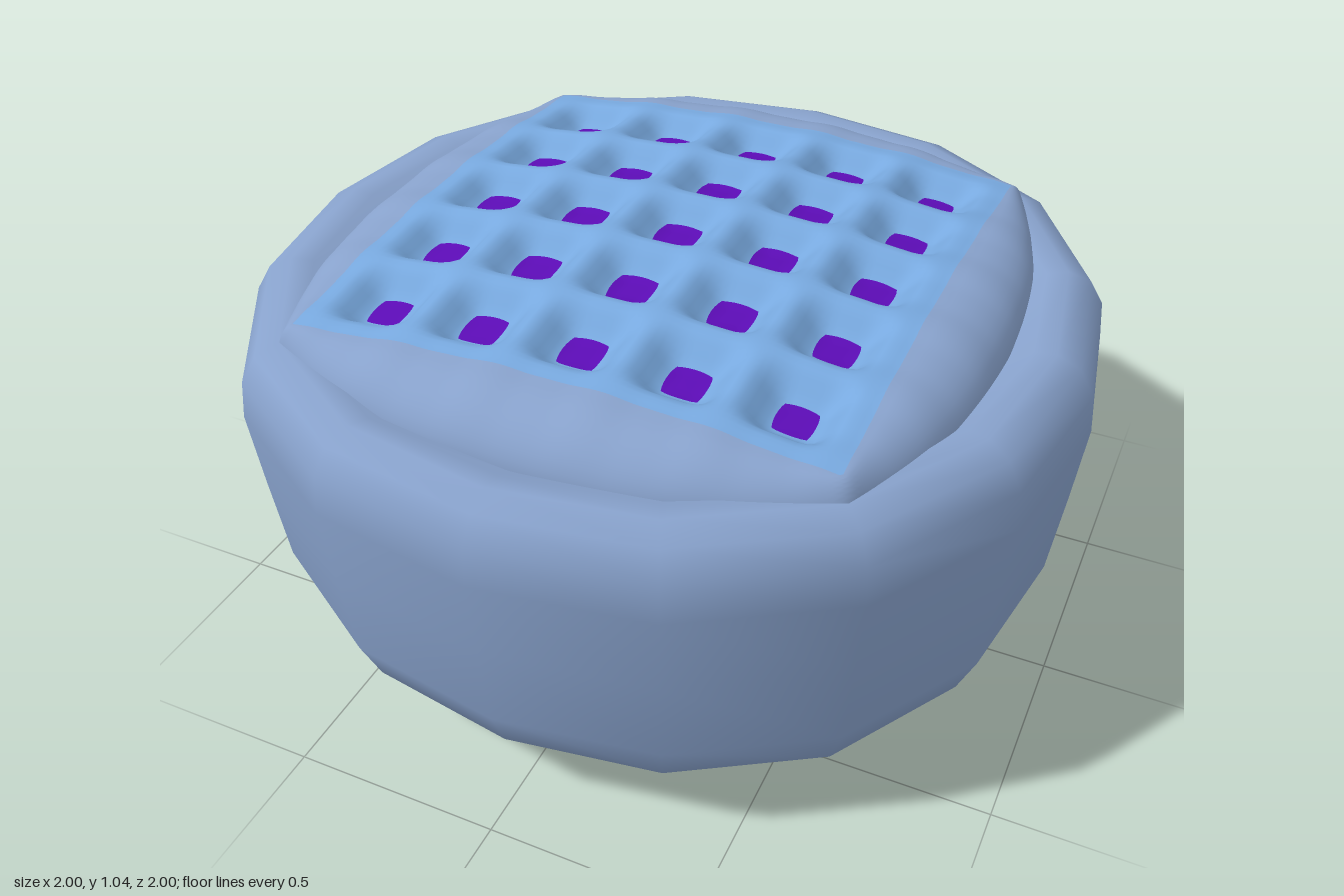
import * as THREE from 'three';
import { mergeVertices } from 'three/addons/utils/BufferGeometryUtils.js';

const HALF = 0.63;   // half width of the tufted square
const STEP = 0.24;   // button spacing
const INNER = 0.8;   // share of the cushion grid that is tufted

// Height of the tufted top: a shallow dome with a soft pit at every button
function topHeight(x, z) {
  const dome = 1.047 - 0.046 * (x / HALF) ** 2 - 0.046 * (z / HALF) ** 2;
  const dip = (v) => {
    const d = Math.abs(v - STEP * THREE.MathUtils.clamp(Math.round(v / STEP), -2, 2));
    return 1 - THREE.MathUtils.smoothstep(d, 0.035, 0.115);
  };
  const a = dip(x), b = dip(z);
  return dome - 0.065 * a * b - 0.006 * (a + b) * (1 - a * b);
}

// Re-share vertices so that the normals are smooth everywhere
function smooth(geo) {
  const groups = geo.groups;
  geo.deleteAttribute('normal');
  geo.deleteAttribute('uv');
  const out = mergeVertices(geo, 1e-4);
  out.clearGroups();
  groups.forEach((g) => out.addGroup(g.start, g.count, g.materialIndex));
  out.computeVertexNormals();
  return out;
}

// Sixteen-sided padded base
function baseGeometry() {
  const profile = [
    [0, 0.005], [0.34, 0.018], [0.63, 0.062], [0.82, 0.125], [0.91, 0.21], [0.955, 0.32],
    [0.98, 0.54], [1, 0.74], [0.99, 0.83], [0.955, 0.89], [0.9, 0.915],
    [0.85, 0.908], [0.8, 0.88], [0.7, 0.85], [0, 0.85],
  ].map(([r, y]) => new THREE.Vector2(r, y));
  const geo = new THREE.LatheGeometry(profile, 16);
  const p = geo.attributes.position;
  for (let i = 0; i < p.count; i++) {
    const k = 1 + 0.03 * Math.sin(2 * Math.atan2(p.getX(i), p.getZ(i))) ** 2;
    p.setX(i, p.getX(i) * k);
    p.setZ(i, p.getZ(i) * k);
  }
  return smooth(geo);
}

// Cushion: one grid whose middle is tufted and whose border rolls down to a rounded outline
function cushionGeometry() {
  const n = 100;
  const geo = new THREE.PlaneGeometry(2, 2, n, n).rotateX(-Math.PI / 2);
  const p = geo.attributes.position;
  for (let i = 0; i < p.count; i++) {
    const a = p.getX(i), b = p.getZ(i);
    const m = Math.max(Math.abs(a), Math.abs(b));
    if (m <= INNER + 1e-4) {
      const x = a / INNER * HALF, z = b / INNER * HALF;
      p.setXYZ(i, x, topHeight(x, z), z);
      continue;
    }
    const k = (m - INNER) / (1 - INNER) * Math.PI / 2;
    const u = a / m, v = b / m;
    const bulge = (t) => 0.66 + 0.14 * (1 - Math.abs(t) ** 2.4);
    const edgeY = topHeight(u * HALF, v * HALF);
    p.setXYZ(i,
      THREE.MathUtils.lerp(u * HALF, u * bulge(v), Math.sin(k)),
      edgeY - (edgeY - 0.86) * (1 - Math.cos(k)),
      THREE.MathUtils.lerp(v * HALF, v * bulge(u), Math.sin(k)));
  }
  // Sort the triangles into tufted top and plain border
  const top = [], border = [], index = geo.index.array;
  const margin = Math.round(n * (1 - INNER) / 2);
  for (let c = 0; c < n * n; c++) {
    const i = c % n, j = Math.floor(c / n);
    const inside = Math.min(i, j, n - 1 - i, n - 1 - j) >= margin;
    (inside ? top : border).push(...index.slice(c * 6, c * 6 + 6));
  }
  geo.setIndex([...top, ...border]);
  geo.addGroup(0, top.length, 0);
  geo.addGroup(top.length, border.length, 1);
  return smooth(geo);
}

// Button: a small soft-cornered patch lying in its pit
function buttonGeometry(cx, cz, size) {
  const geo = new THREE.PlaneGeometry(2, 2, 6, 6).rotateX(-Math.PI / 2);
  const p = geo.attributes.position;
  for (let i = 0; i < p.count; i++) {
    const a = p.getX(i), b = p.getZ(i);
    const k = (1 - 0.12 * a * a * b * b) * size / 2;
    const x = cx + a * k, z = cz + b * k;
    p.setXYZ(i, x, topHeight(x, z) + 0.005, z);
  }
  return smooth(geo);
}

export function createModel() {
  const material = (name, color) => new THREE.MeshStandardMaterial({ name, color });
  const fabric = material('greyBlueFabric', 0x88a2cc);
  const tufting = material('lightBlueFabric', 0x78a9df);
  const purple = material('purpleButton', 0x5c0cb6);

  const group = new THREE.Group();
  group.name = 'tuftedPouf';
  const add = (name, geo, mat, parent = group) => {
    const mesh = new THREE.Mesh(geo, mat);
    mesh.name = name;
    parent.add(mesh);
  };

  add('base', baseGeometry(), fabric);
  add('cushion', cushionGeometry(), [tufting, fabric]);

  // Five rows of five buttons, a little smaller towards the corners
  const buttons = new THREE.Group();
  buttons.name = 'buttons';
  group.add(buttons);
  for (let i = -2; i <= 2; i++) {
    for (let j = -2; j <= 2; j++) {
      const size = 0.102 - 0.002 * (i * i + j * j);
      add('button', buttonGeometry(i * STEP, j * STEP, size), purple, buttons);
    }
  }
  return group;
}
